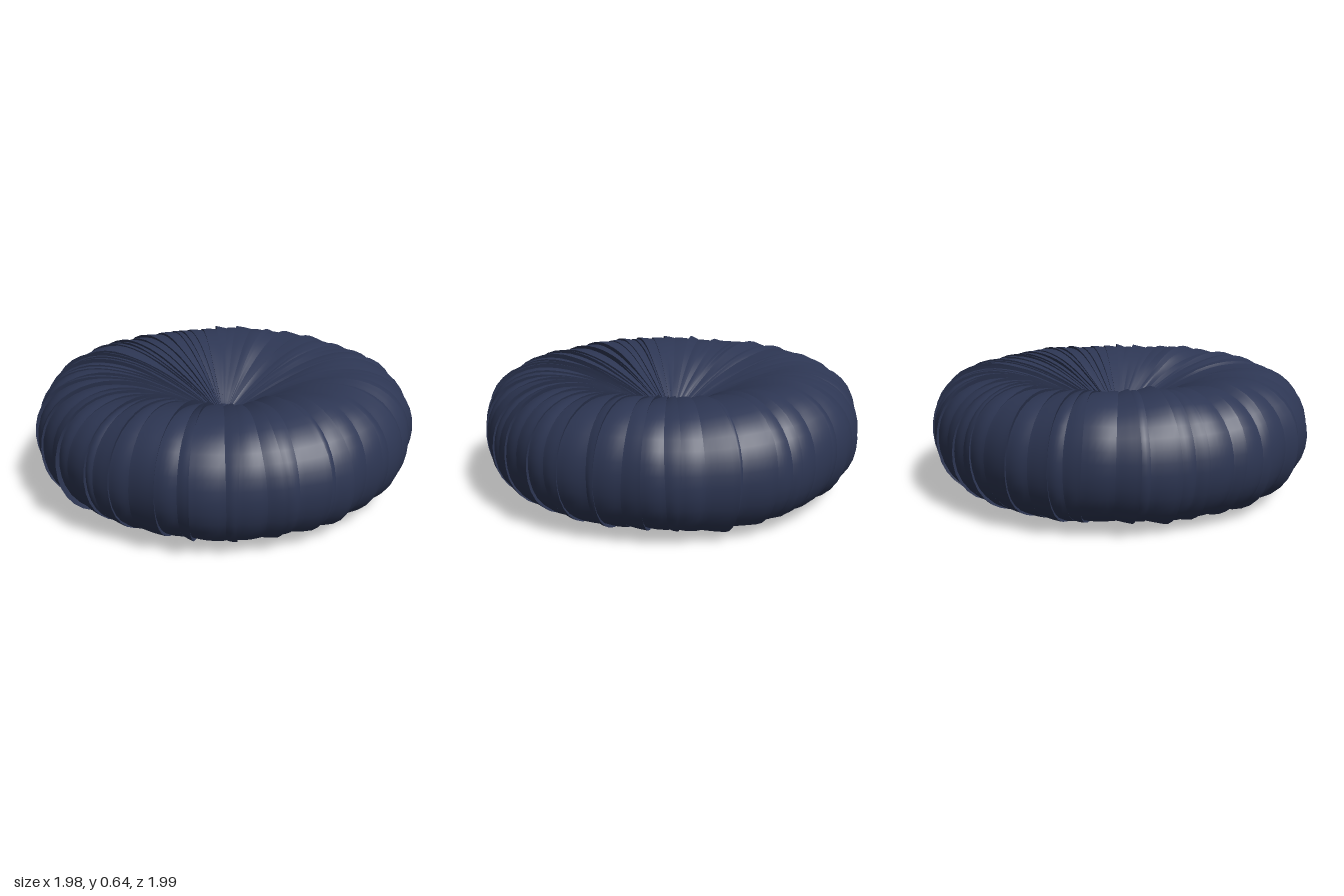
import * as THREE from 'three';

// Small seeded generator so the gathers are irregular but repeatable
function seeded(seed) {
  return () => {
    seed = (seed * 16807) % 2147483647;
    return seed / 2147483647;
  };
}

const MID = 0.322, ROWS = 44, COLS = 5, PLEATS = 64;

// Half section of the cushion, from the top dimple to the bottom dimple
const upper = [
  [0.0, 0.03], [0.06, 0.05], [0.16, 0.11], [0.3, 0.185], [0.45, 0.25], [0.58, 0.284],
  [0.7, 0.292], [0.8, 0.27], [0.88, 0.225], [0.945, 0.145], [0.975, 0.05],
];
const section = new THREE.CatmullRomCurve3([
  ...upper.map(([r, y]) => new THREE.Vector3(r, MID + y, 0)),
  ...upper.slice().reverse().map(([r, y]) => new THREE.Vector3(r, MID - y, 0)),
]);

// Position, outward normal and height fraction of each row of the section
const rows = Array.from({ length: ROWS + 1 }, (_, i) => {
  const t = i / ROWS, p = section.getPointAt(t), d = section.getTangentAt(t);
  return { t, r: Math.max(p.x, 0), y: p.y, nr: -d.y, ny: d.x };
});

// Broad soft unevenness shared by neighbouring pleats
function unevenness(a, t) {
  return 0.004 * Math.sin(5 * a + 9 * t) + 0.003 * Math.sin(11 * a - 17 * t + 1);
}

function createPleats() {
  const rand = seeded(4127);
  const pleats = Array.from({ length: PLEATS }, (_, k) => ({
    angle: ((k + (rand() - 0.5) * 0.75) / PLEATS) * Math.PI * 2,
    lift: k % 2 ? 0.011 + 0.009 * rand() : 0.014 + 0.014 * rand(),
    short: k % 2 === 1,
    phase: rand() * 6.28,
    sway: (rand() - 0.5) * 0.035,
    wave: 5 + rand() * 9,
  }));

  // Fold line of a pleat, swaying a little round the side
  const foldAngle = (k, t) => {
    const p = pleats[(k + PLEATS) % PLEATS];
    const turn = k >= PLEATS ? Math.PI * 2 : 0;
    return p.angle + turn + p.sway * Math.sin(t * Math.PI) * Math.sin(t * p.wave + p.phase);
  };

  const positions = [], indices = [];
  const put = (row, a, off) => {
    const r = Math.max(0, row.r + row.nr * off);
    positions.push(r * Math.sin(a), row.y + row.ny * off, r * Math.cos(a));
  };
  const stitch = (start, cols) => {
    for (let i = 0; i < ROWS; i++) {
      for (let j = 0; j < cols; j++) {
        const a = start + i * (cols + 1) + j, b = a + cols + 1;
        indices.push(a, b, a + 1, b, b + 1, a + 1);
      }
    }
  };

  for (let k = 0; k < PLEATS; k++) {
    const p = pleats[k];
    // Short gathers fade out before reaching the side
    const liftAt = (row) => {
      const inner = Math.min(1, row.r / 0.45);
      const fade = p.short ? 1 - THREE.MathUtils.smoothstep(row.r, 0.6, 0.93) : 1;
      return p.lift * inner * fade * (0.75 + 0.25 * Math.sin(row.t * p.wave * 2 + p.phase));
    };
    const offset = (row, a, u) => {
      const inner = Math.min(1, row.r / 0.5);
      return liftAt(row) * u * u + inner * (0.005 * Math.sin(Math.PI * u) + unevenness(a, row.t));
    };
    const edge = (row) => foldAngle(k + 1, row.t) + liftAt(row) * 0.4;

    // Cloth panel, rising towards its overlapping edge
    let start = positions.length / 3;
    for (const row of rows) {
      const a0 = foldAngle(k, row.t), a1 = edge(row);
      for (let j = 0; j <= COLS; j++) {
        const u = j / COLS, a = a0 + (a1 - a0) * u;
        put(row, a, offset(row, a, u));
      }
    }
    stitch(start, COLS);

    // Narrow turned-under wall below the overlapping edge
    start = positions.length / 3;
    for (const row of rows) {
      const a = edge(row), b = foldAngle(k + 1, row.t);
      put(row, a, offset(row, a, 1));
      put(row, b, Math.min(1, row.r / 0.5) * unevenness(b, row.t) - 0.002);
    }
    stitch(start, 1);
  }

  const geometry = new THREE.BufferGeometry();
  geometry.setAttribute('position', new THREE.Float32BufferAttribute(positions, 3));
  geometry.setIndex(indices);
  geometry.computeVertexNormals();
  return geometry;
}

export function createModel() {
  const group = new THREE.Group();
  group.name = 'roundCushion';

  const navyFabric = new THREE.MeshStandardMaterial({ color: 0x2d3653, side: THREE.DoubleSide });
  navyFabric.name = 'navyFabric';

  const cover = new THREE.Mesh(createPleats(), navyFabric);
  cover.name = 'pleatedCover';
  group.add(cover);

  // Covered buttons pulled into the centre of both faces
  const buttonGeometry = new THREE.SphereGeometry(0.048, 20, 12);
  for (const [name, side] of [['topButton', 1], ['bottomButton', -1]]) {
    const button = new THREE.Mesh(buttonGeometry, navyFabric);
    button.name = name;
    button.scale.set(1, 0.5, 0.9);
    button.position.set(0, MID + side * 0.06, 0);
    group.add(button);
  }
  return group;
}
